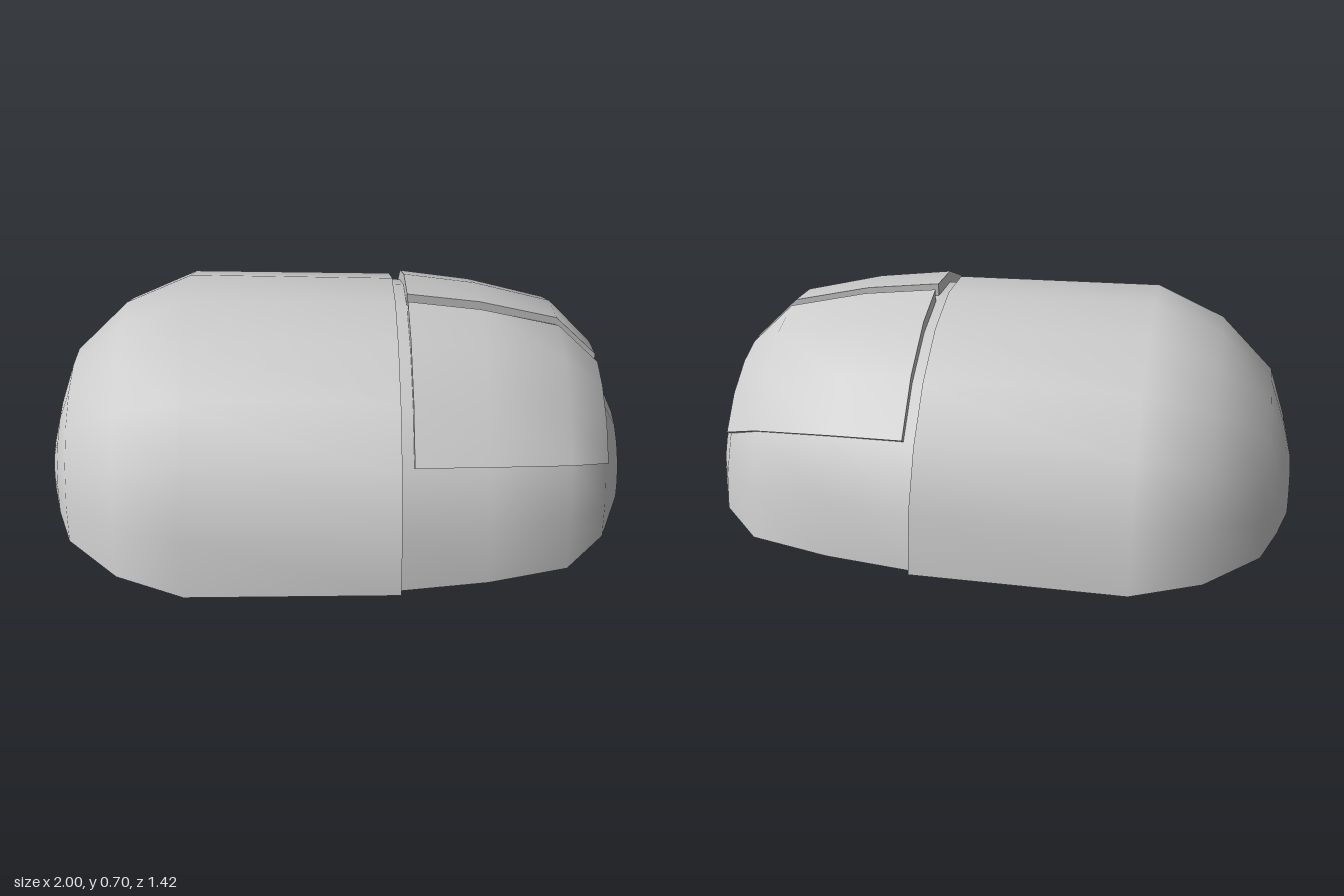
import * as THREE from 'three';

const material = new THREE.MeshStandardMaterial({ color: 0xcccccc, side: THREE.DoubleSide });

// Smooth skin over rows of points, each row having the same count
function skin(name, rows) {
  const n = rows[0].length, index = [];
  for (let i = 0; i < rows.length - 1; i++) {
    for (let j = 0; j < n - 1; j++) {
      const a = i * n + j, b = a + n;
      index.push(a, b, a + 1, a + 1, b, b + 1);
    }
  }
  const geometry = new THREE.BufferGeometry().setFromPoints(rows.flat());
  geometry.setIndex(index);
  geometry.computeVertexNormals();
  const mesh = new THREE.Mesh(geometry, material);
  mesh.name = name;
  return mesh;
}

// Half-ellipse arch across the body: x position, half width, height
const SIDES = 10;
function arch([x, w, h]) {
  return Array.from({ length: SIDES + 1 }, (_, j) => {
    const a = (Math.PI * j) / SIDES;
    return new THREE.Vector3(x, h * Math.sin(a), w * Math.cos(a));
  });
}

// Raised button plate: x position, outer radius, and radius of the wall's foot
const buttonStations = [
  [0.25, 0.70, 0.655],
  [0.50, 0.667, 0.63],
  [0.77, 0.60, 0.56],
  [0.92, 0.448, 0.385],
];

function button(name, side) {
  const row = (x, r) => {
    const angles = [0.2, 0.3, 0.4].map((t) => t * Math.PI);
    angles.push(Math.acos(0.025 / r));
    const points = angles.map((a) => new THREE.Vector3(x, r * Math.sin(a), side * r * Math.cos(a)));
    return side > 0 ? points : points.reverse();
  };
  const top = buttonStations.map(([x, r]) => row(x, r));
  const foot = buttonStations.map(([x, , r]) => row(x, r));
  const column = (rows, j) => rows.map((points) => points[j]);
  const group = new THREE.Group();
  group.name = name;
  group.add(
    skin('buttonTop', top),
    skin('buttonRearWall', [foot[0], top[0]]),
    skin('buttonFrontWall', [top[3], foot[3]]),
    skin('buttonSideWallA', [column(top, 0), column(foot, 0)]),
    skin('buttonSideWallB', [column(foot, 3), column(top, 3)]),
  );
  return group;
}

export function createModel() {
  const model = new THREE.Group();
  model.name = 'computerMouse';

  // Rear palm shell, rounded at the back and open below
  const palm = [
    [-1, 0, 0], [-1, 0.14, 0.14], [-0.965, 0.275, 0.275], [-0.91, 0.43, 0.435],
    [-0.73, 0.61, 0.605], [-0.5, 0.712, 0.70], [0.21, 0.712, 0.68],
  ];
  // Front shell, slightly smaller, closing at the nose
  const nose = [
    [0.21, 0.69, 0.66], [0.5, 0.655, 0.64], [0.77, 0.59, 0.575],
    [0.915, 0.43, 0.40], [1, 0.22, 0.212], [1, 0, 0],
  ];
  model.add(skin('palmShell', palm.map(arch)));
  model.add(skin('frontShell', nose.map(arch)));

  // Small step where the two shells meet
  model.add(skin('seamStep', [arch(palm[palm.length - 1]), arch(nose[0])]));

  // Two click buttons with a slot between them
  model.add(button('leftButton', -1), button('rightButton', 1));

  return model;
}
